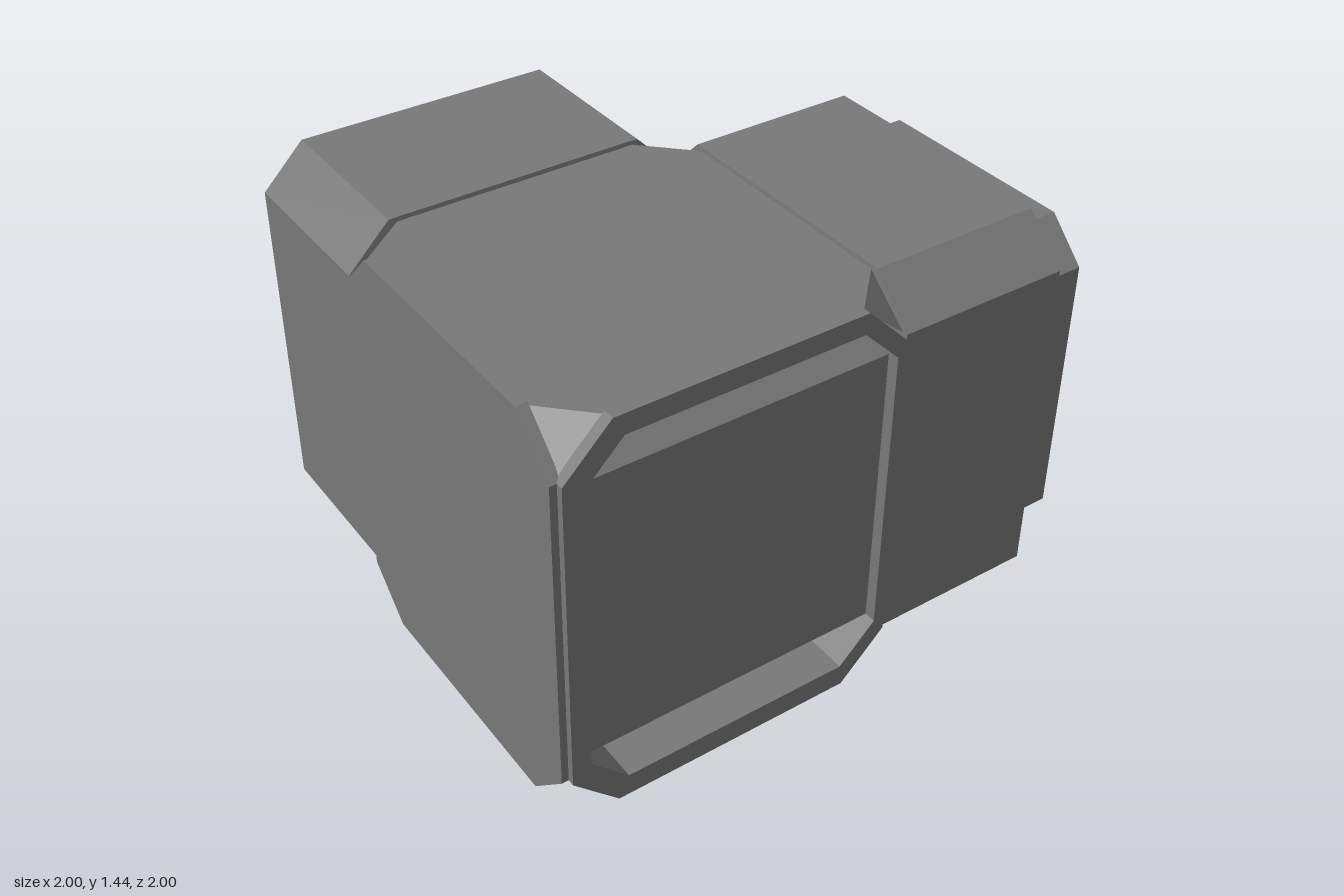
import * as THREE from 'three';
import { mergeGeometries } from 'three/addons/utils/BufferGeometryUtils.js';

const MID = 0.384;  // offset of both arm centre lines
const CY = 0.72;    // height of the centre line

// Octagon with 45 degree corners as [u, y], counter-clockwise
function octagon(hw, hh, cut, cu = 0, cy = CY) {
  const a = hw - cut, b = hh - cut;
  return [[hw, -b], [hw, b], [a, hh], [-a, hh], [-hw, b], [-hw, -b], [-a, -hh], [a, -hh]]
    .map(([u, y]) => [cu + u, cy + y]);
}

function fromTriangles(points) {
  const geo = new THREE.BufferGeometry().setFromPoints(points);
  geo.computeVertexNormals();
  return geo;
}

// Joins successive rings with flat quads; mirrored swaps the two arm directions
function loft(rings, mirrored = false) {
  const pts = [];
  const flip = (p) => (mirrored ? new THREE.Vector3(-p.z, p.y, -p.x) : p);
  for (let r = 0; r < rings.length - 1; r++) {
    const a = rings[r], b = rings[r + 1], n = a.length;
    for (let i = 0; i < n; i++) {
      const j = (i + 1) % n;
      const quad = [a[i], b[i], a[j], a[j], b[i], b[j]].map(flip);
      pts.push(...(mirrored ? quad.reverse() : quad));
    }
  }
  return fromTriangles(pts);
}

// Roof or underside of the corner: flat octagon with folded corner facets
function cornerPlate(y, foldY) {
  const half = 0.585, c = 0.38;
  const p = octagon(half, half, 0.16, -c, c).map(([x, z]) => new THREE.Vector3(x, y, z));
  const centre = new THREE.Vector3(-c, y, c);
  const pts = [];
  for (let i = 0; i < 8; i++) {
    const a = p[i], b = p[(i + 1) % 8];
    pts.push(centre, b, a);
    if (i % 2 === 1) {
      const fold = new THREE.Vector3(
        -c + half * Math.sign(a.x + b.x + 2 * c), foldY,
        c + half * Math.sign(a.z + b.z - 2 * c));
      pts.push(a, b, fold);
    }
  }
  return fromTriangles(pts);
}

export function createModel() {
  const model = new THREE.Group();
  const grey = new THREE.MeshStandardMaterial({ color: 0x797979, flatShading: true });
  const greyBoth = new THREE.MeshStandardMaterial({ color: 0x797979, flatShading: true, side: THREE.DoubleSide });
  const dark = new THREE.MeshStandardMaterial({ color: 0x3a3a45, flatShading: true });
  const add = (name, geo, mat) => {
    const mesh = new THREE.Mesh(geo, mat);
    mesh.name = name;
    model.add(mesh);
  };

  // Arms: corner panel, outer wall, bevel, collar, inner sleeve, wider corner room
  const panel = octagon(0.575, 0.65, 0.14);
  const outer = octagon(0.597, 0.72, 0.148);
  const collar = octagon(0.507, 0.605, 0.135);
  const inner = octagon(0.452, 0.54, 0.115);
  const room = octagon(0.52, 0.64, 0.09);
  const at = (section, d) => section.map(([u, y]) => new THREE.Vector3(d, y, MID + u));
  const mitre = (section) => section.map(([u, y]) => new THREE.Vector3(-MID - u, y, MID + u));
  const armRings = [
    mitre(panel), at(panel, 0.2), at(outer, 0.205), at(outer, 0.81), at(collar, 0.867),
    at(collar, 1), at(inner, 1), at(inner, 0.37), at(room, 0.37), mitre(room),
  ];
  add('leftArm', loft(armRings), grey);
  add('backArm', loft(armRings, true), grey);

  // Raised octagonal frame around the recessed front panel
  const rim = octagon(0.588, 0.72, 0.16, -0.388);
  const hole = octagon(0.535, 0.645, 0.13, -0.375, 0.725);
  const flat = (section, z) => section.map(([x, y]) => new THREE.Vector3(x, y, z));
  add('frontPanelFrame',
    loft([flat(hole, 0.82), flat(hole, 1), flat(rim, 1), flat(rim, 0.96), flat(hole, 0.96)]), grey);

  // Flat octagonal plate closing the right side
  const plateShape = new THREE.Shape(rim.map(([x, y]) => new THREE.Vector2(-x, y)));
  const plate = new THREE.ExtrudeGeometry(plateShape, { depth: 0.04, bevelEnabled: false });
  add('rightPlate', plate.translate(0, 0, 0.96).rotateY(-Math.PI / 2), grey);

  add('cornerRoof', cornerPlate(1.425, 1.29), greyBoth);
  add('cornerUnderside', cornerPlate(0.055, 0.16), greyBoth);

  // Basket-weave floor grating along the L-shaped walkway
  const bars = [];
  const pitch = 0.1;
  for (let i = 0; i < 16; i++) {
    for (let j = 0; j < 16; j++) {
      const x = -0.68 + i * pitch, z = 0.68 - j * pitch;
      if (x > 0 && z < 0.05) continue;
      const alongX = (i + j) % 2 === 0;
      const bar = new THREE.BoxGeometry(alongX ? 0.135 : 0.045, 0.012, alongX ? 0.045 : 0.135);
      bars.push(bar.translate(x, 0.234, z));
    }
  }
  add('floorGrating', mergeGeometries(bars), dark);

  return model;
}
